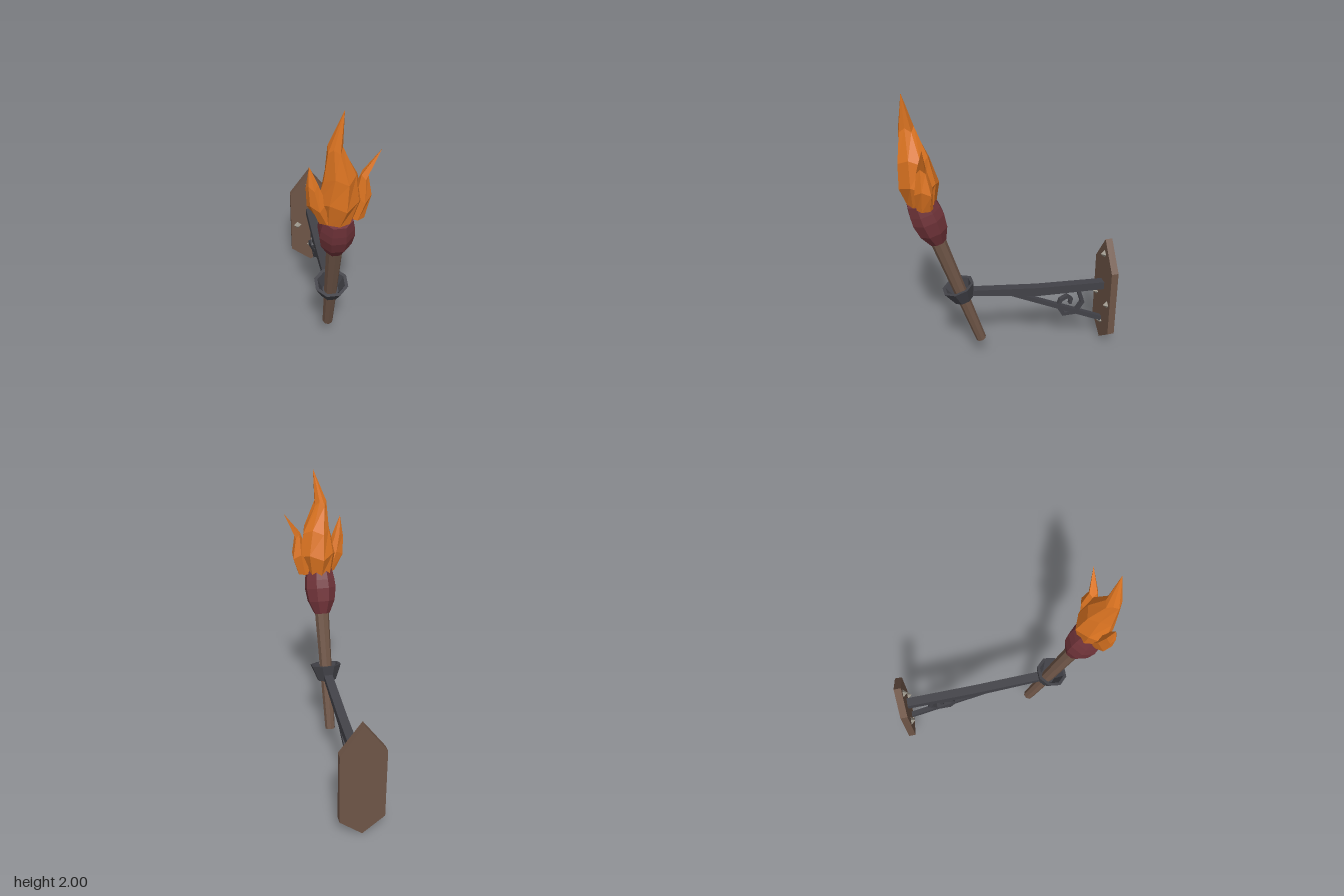
import * as THREE from 'three';

const AXIS_X = -0.03;

export function createModel() {
  const model = new THREE.Group();
  model.name = 'wallTorch';

  const mat = (name, color) => {
    const m = new THREE.MeshStandardMaterial({ color });
    m.name = name;
    m.flatShading = true;
    return m;
  };
  const wood = mat('wood', 0x6e5547);
  const iron = mat('iron', 0x424248);
  const cloth = mat('redCloth', 0x71343a);
  const fire = mat('flame', 0xdc7421);
  const steel = mat('stud', 0x9c978c);

  const add = (name, geometry, material, parent = model) => {
    const mesh = new THREE.Mesh(geometry, material);
    mesh.name = name;
    parent.add(mesh);
    return mesh;
  };

  // Wall plate
  const outline = [[0, 0], [0.15, 0.12], [0.15, 0.63], [0, 0.835], [-0.15, 0.63], [-0.15, 0.12]];
  const plate = new THREE.Shape(outline.map(([x, y]) => new THREE.Vector2(x, y)));
  add('wallPlate', new THREE.ExtrudeGeometry(plate, { depth: 0.05, bevelEnabled: false }), wood)
    .position.set(AXIS_X, 0, -0.73);

  // Pointed studs on the plate
  for (const [x, y] of [[0, 0.72], [-0.1, 0.35], [0.1, 0.35], [0, 0.155]]) {
    add('stud', new THREE.OctahedronGeometry(0.03), steel).position.set(AXIS_X + x, y, -0.68);
  }

  // Flat bar following [z, y, halfThickness] points, extruded across x
  const bar = (name, path, width) => {
    const pts = path.map(([z, y]) => new THREE.Vector2(z, y));
    const sides = [[], []];
    pts.forEach((p, i) => {
      const a = p.clone().sub(pts[Math.max(i - 1, 0)]).normalize();
      const b = pts[Math.min(i + 1, pts.length - 1)].clone().sub(p).normalize();
      const t = a.add(b);
      const mitre = i > 0 && i < pts.length - 1 ? 2 / t.length() : 1;
      t.normalize();
      const n = new THREE.Vector2(-t.y, t.x).multiplyScalar(path[i][2] * mitre);
      sides[0].push(p.clone().add(n));
      sides[1].unshift(p.clone().sub(n));
    });
    const geo = new THREE.ExtrudeGeometry(new THREE.Shape([...sides[0], ...sides[1]]), {
      depth: width, bevelEnabled: false,
    });
    geo.translate(0, 0, -width / 2).rotateY(-Math.PI / 2);
    add(name, geo, iron).position.x = AXIS_X;
  };
  bar('arm', [[0.3, 0.572, 0.02], [-0.18, 0.5, 0.033], [-0.69, 0.468, 0.029]], 0.062);
  bar('brace', [[0.02, 0.513, 0.015], [-0.69, 0.168, 0.018]], 0.036);
  bar('scroll', [
    [-0.49, 0.46, 0.013], [-0.527, 0.344, 0.013], [-0.475, 0.264, 0.013], [-0.383, 0.264, 0.013],
    [-0.342, 0.335, 0.013], [-0.362, 0.388, 0.012], [-0.407, 0.41, 0.012],
    [-0.44, 0.383, 0.011], [-0.432, 0.345, 0.01],
  ], 0.032);

  // Leaning torch: everything here runs along local y
  const torch = new THREE.Group();
  torch.name = 'torch';
  torch.position.set(AXIS_X, 0.165, 0.23);
  torch.rotation.x = THREE.MathUtils.degToRad(18);
  model.add(torch);

  const turned = (name, profile, material, phi = 0) => add(name,
    new THREE.LatheGeometry(profile.map(([r, y]) => new THREE.Vector2(r, y)), 8, phi), material, torch);

  turned('handle', [[0, 0], [0.036, 0], [0.052, 0.92], [0, 0.92]], wood);
  turned('collar', [[0.04, 0.375], [0.068, 0.375], [0.114, 0.49], [0.092, 0.49], [0.055, 0.40], [0.04, 0.40]],
    iron, Math.PI / 8);
  turned('wrappedHead', [
    [0, 0.872], [0.058, 0.872], [0.1, 0.965], [0.114, 1.06], [0.108, 1.12], [0.094, 1.19], [0, 1.19],
  ], cloth, Math.PI / 8);

  // Flame tongue lofted through rings [x, y, z, radiusX, radiusZ] to a tip
  const tongue = (name, rings, tip, n, twist) => {
    const pos = [];
    const index = [];
    rings.forEach(([x, y, z, rx, rz], k) => {
      for (let i = 0; i < n; i++) {
        const a = ((i + k * twist) / n) * Math.PI * 2;
        const wobble = k > 0 && i % 2 ? 0.9 : 1.03;
        const lift = k > 0 ? (i % 2 ? 0.015 : -0.015) : 0;
        pos.push(x + Math.sin(a) * rx * wobble, y + lift, z + Math.cos(a) * rz * wobble);
      }
    });
    const last = rings.length - 1;
    const base = rings.length * n;
    pos.push(...rings[0].slice(0, 3), ...tip);
    for (let i = 0; i < n; i++) {
      const j = (i + 1) % n;
      index.push(base, j, i, last * n + i, last * n + j, base + 1);
      for (let k = 0; k < last; k++) {
        const a = k * n + i, b = k * n + j;
        index.push(a, b, b + n, a, b + n, a + n);
      }
    }
    const geo = new THREE.BufferGeometry();
    geo.setAttribute('position', new THREE.Float32BufferAttribute(pos, 3));
    geo.setIndex(index);
    geo.computeVertexNormals();
    add(name, geo, fire);
  };
  tongue('mainFlame', [
    [-0.03, 1.28, 0.588, 0.085, 0.09], [-0.02, 1.42, 0.598, 0.135, 0.127],
    [-0.02, 1.59, 0.622, 0.1, 0.103], [-0.055, 1.77, 0.648, 0.046, 0.052],
  ], [-0.01, 2, 0.67], 8, 0.2);
  tongue('rightFlame', [
    [-0.1, 1.285, 0.61, 0.045, 0.045], [-0.15, 1.41, 0.63, 0.06, 0.055], [-0.178, 1.54, 0.64, 0.036, 0.035],
  ], [-0.195, 1.67, 0.645], 6, 0.1);
  tongue('leftFlame', [
    [0.08, 1.285, 0.585, 0.046, 0.05], [0.112, 1.42, 0.588, 0.058, 0.06], [0.115, 1.56, 0.598, 0.026, 0.032],
  ], [0.21, 1.72, 0.6], 6, 0.1);

  return model;
}
